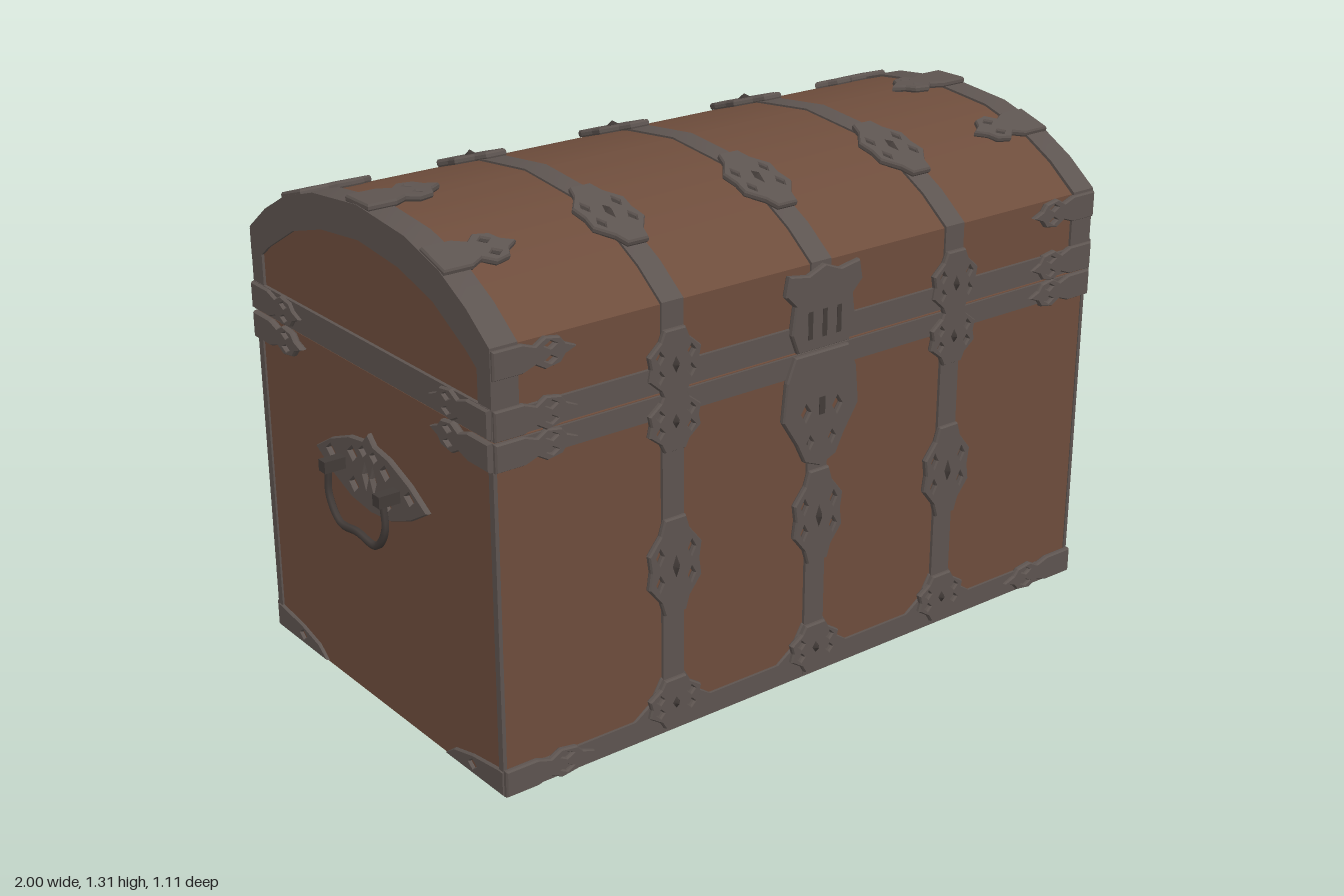
import * as THREE from 'three';
import { toCreasedNormals } from 'three/addons/utils/BufferGeometryUtils.js';

const wood = new THREE.MeshStandardMaterial({ color: 0x6e4d3c });
wood.name = 'wood';
const iron = new THREE.MeshStandardMaterial({ color: 0x5d5450 });
iron.name = 'iron';
const dark = new THREE.MeshStandardMaterial({ color: 0x423b38 });
dark.name = 'darkIron';

const W = 0.93, D = 0.525; // half width and half depth
const SEAM = 0.893, LID = 0.9;
const STRAPS = [-0.445, 0, 0.44];
const ARCH = [[0.525, 1.11], [0.44, 1.176], [0.34, 1.232], [0.2, 1.276], [0, 1.297]];

const mesh = (name, geo, mat, x = 0, y = 0, z = 0) => {
  const m = new THREE.Mesh(geo, mat);
  m.name = name;
  m.position.set(x, y, z);
  return m;
};
const box = (name, w, h, d, mat, x, y, z) => mesh(name, new THREE.BoxGeometry(w, h, d), mat, x, y, z);
const poly = (pts) => new THREE.Shape(pts.map(([x, y]) => new THREE.Vector2(x, y)));
const mirrorX = (half) => [...half, ...half.slice().reverse().filter((p) => p[0] !== 0).map(([x, y]) => [-x, y])];
const diamond = (x, y, w, h) => new THREE.Path([[x, y - h], [x + w, y], [x, y + h], [x - w, y]].map((p) => new THREE.Vector2(...p)));

// Ironwork plate in the XY plane, facing +z, with pierced diamonds
function plate(pts, holes = [], thick = 0.008) {
  const s = poly(pts);
  s.holes = holes.map((h) => diamond(...h));
  return new THREE.ExtrudeGeometry(s, {
    depth: thick, bevelEnabled: true, bevelThickness: 0.005, bevelSize: 0.003, bevelOffset: -0.003, bevelSegments: 1,
  });
}

// Slab with the lid's cross-section, grown by g and running from x0 to x1
function lidSlab(x0, x1, g, hole) {
  const half = [[D + g, LID], ...ARCH.map(([z, y]) => [z * (1 + g / D), y + g * 0.8])];
  const s = poly(mirrorX(half));
  if (hole) s.holes = [new THREE.Path(mirrorX(hole).map((p) => new THREE.Vector2(...p)))];
  const geo = new THREE.ExtrudeGeometry(s, { depth: x1 - x0, bevelEnabled: false });
  geo.rotateY(Math.PI / 2).translate(x0, 0, 0);
  return toCreasedNormals(geo, 0.4);
}

// Puts an object flat on the arch at depth z
function onArch(obj, x, z) {
  let i = ARCH.findIndex((p) => p[0] <= z);
  i = Math.max(1, i);
  const [z0, y0] = ARCH[i - 1], [z1, y1] = ARCH[i];
  const t = (z0 - z) / (z0 - z1);
  obj.position.set(x, y0 + (y1 - y0) * t + 0.004, z);
  obj.rotation.x = -Math.atan2(z0 - z1, y1 - y0);
  return obj;
}

// Pierced strap ornament with a raised centre stud
function medallion(w, h) {
  const g = new THREE.Group();
  g.name = 'medallion';
  const pts = mirrorX([[0, -h], [0.4 * w, -h], [0.55 * w, -0.7 * h], [w, -0.35 * h], [0.92 * w, 0], [w, 0.35 * h], [0.55 * w, 0.7 * h], [0.4 * w, h], [0, h]]);
  const holes = [];
  for (const sx of [-1, 1]) for (const sy of [-1, 1]) holes.push([sx * 0.6 * w, sy * 0.28 * h, 0.13 * w, 0.16 * h]);
  g.add(mesh('medallionPlate', plate(pts, holes), iron));
  const stud = mesh('medallionStud', new THREE.ConeGeometry(1, 0.014, 4).toNonIndexed().rotateX(Math.PI / 2), dark, 0, 0, 0.018);
  stud.scale.set(0.16 * w, 0.28 * h, 1);
  g.add(stud);
  return g;
}

// Leaf-tipped corner mount pointing along +x from its edge; dir -1 mirrors it
function leaf(len, h, dir) {
  const half = [[0, h], [0.35 * len, h], [0.5 * len, 0.65 * h], [0.62 * len, 1.1 * h], [0.8 * len, 0.9 * h], [0.86 * len, 0.4 * h], [len, 0]];
  const pts = [...half, ...half.slice(0, -1).reverse().map(([x, y]) => [x, -y])];
  const holes = [[0.68 * len, 0.5 * h, 0.07 * len, 0.24 * h], [0.68 * len, -0.5 * h, 0.07 * len, 0.24 * h]];
  const flip = ([x, y]) => [x * dir, y];
  return mesh('cornerLeaf', plate(pts.map(flip), holes.map(([x, y, a, b]) => [x * dir, y, a, b])), iron);
}

// Ironwork of the front or back, built facing +z
function longSide(isFront) {
  const g = new THREE.Group();
  g.name = isFront ? 'frontIronwork' : 'backIronwork';
  g.add(box('lidRim', 2 * W + 0.01, 0.062, 0.014, iron, 0, 0.932, D + 0.002));
  g.add(box('bodyRim', 2 * W + 0.01, 0.055, 0.012, iron, 0, 0.864, D + 0.001));
  g.add(box('bottomRim', 2 * W + 0.01, 0.058, 0.012, iron, 0, 0.039, D + 0.001));
  for (const x of STRAPS) {
    g.add(box('bodyStrap', 0.062, 0.87, 0.01, iron, x, 0.45, D + 0.003));
    // Curved flare where the strap meets the bottom rim
    g.add(mesh('strapFoot', plate(mirrorX([[0, 0.065], [0.12, 0.065], [0.07, 0.1], [0.035, 0.16], [0, 0.16]]), [], 0.002), iron, x, 0, D));
    const spots = [[0.455, 0.078, 0.125], [0.09, 0.078, 0.065]];
    if (!isFront || x !== 0) spots.push([0.965, 0.075, 0.085], [0.825, 0.075, 0.075]);
    for (const [y, w, h] of spots) {
      const m = medallion(w, h);
      m.position.set(x, y, D + 0.006);
      g.add(m);
    }
    g.add(onArch(medallion(0.074, 0.12), x, 0.29));
  }
  for (const s of [-1, 1]) {
    const edge = s * (W + 0.005);
    for (const [y, len, h] of [[0.935, 0.22, 0.036], [0.86, 0.22, 0.034], [0.045, 0.25, 0.034], [1.075, 0.22, 0.034]]) {
      const l = leaf(len, h, -s);
      l.position.set(edge, y, D + 0.004);
      g.add(l);
    }
    g.add(onArch(leaf(0.22, 0.05, -s), edge, 0.31));
    if (!isFront) g.add(box('cornerPost', 0.07, 0.87, 0.012, iron, s * (W - 0.03), 0.45, D + 0.001));
  }
  if (isFront) {
    // Lock plate on the body and hasp on the lid
    const lock = mirrorX([[0, 0.59], [0.05, 0.61], [0.075, 0.66], [0.12, 0.73], [0.11, 0.83], [0.085, 0.89], [0, 0.89]]);
    g.add(mesh('lockPlate', plate(lock, [[0.05, 0.74, 0.014, 0.022], [-0.05, 0.74, 0.014, 0.022], [0.035, 0.66, 0.01, 0.016], [-0.035, 0.66, 0.01, 0.016]]), iron, 0, 0, D + 0.007));
    g.add(box('keyhole', 0.018, 0.045, 0.008, dark, 0, 0.75, D + 0.018));
    const hasp = mirrorX([[0, 0.9], [0.08, 0.9], [0.1, 0.95], [0.09, 1.02], [0.12, 1.05], [0.11, 1.1], [0.05, 1.09], [0, 1.11]]);
    g.add(mesh('hasp', plate(hasp, [], 0.01), iron, 0, 0, D + 0.008));
    for (const x of [-0.045, 0, 0.045]) g.add(box('haspBar', 0.014, 0.07, 0.008, dark, x, 0.965, D + 0.02));
  }
  return g;
}

// Ironwork and handle of one end, built facing +z
function endSide(name) {
  const g = new THREE.Group();
  g.name = name;
  g.add(box('endLidRim', 2 * D + 0.01, 0.074, 0.012, iron, 0, 0.938, W + 0.003));
  for (const s of [-1, 1]) {
    g.add(box('cornerEdge', 0.018, 0.87, 0.01, iron, s * (D - 0.006), 0.45, W));
    for (const [y, len, h] of [[0.94, 0.24, 0.034], [0.862, 0.24, 0.034]]) {
      const l = leaf(len, h, -s);
      l.position.set(s * (D + 0.005), y, W + 0.005);
      g.add(l);
    }
    const foot = [[0, 0.01], [0.25, 0.01], [0.21, 0.04], [0.13, 0.06], [0.02, 0.075], [0, 0.075]];
    g.add(mesh('footCorner', plate(foot.map(([x, y]) => [s * (D + 0.005 - x), y]), [[s * 0.4, 0.035, 0.016, 0.012]], 0.003), iron, 0, 0, W));
  }
  // Pierced pointed backplate
  const back = mirrorX([[0, -0.09], [0.09, -0.08], [0.18, -0.045], [0.255, 0], [0.18, 0.045], [0.09, 0.08], [0.025, 0.09], [0, 0.115]]);
  const holes = [[0.018, 0, 0.013, 0.035], [-0.018, 0, 0.013, 0.035]];
  for (const s of [-1, 1]) holes.push([s * 0.075, 0.04, 0.02, 0.018], [s * 0.075, -0.04, 0.02, 0.018], [s * 0.18, 0.012, 0.02, 0.016], [s * 0.025, 0.062, 0.015, 0.012]);
  g.add(mesh('handlePlate', plate(back, holes), iron, 0, 0.625, W));
  // Drop handle on two studs
  const path = new THREE.CatmullRomCurve3([[-0.125, 0.625], [-0.13, 0.55], [-0.085, 0.493], [0, 0.497], [0.085, 0.493], [0.13, 0.55], [0.125, 0.625]].map(([x, y]) => new THREE.Vector3(x, y, 0.982)));
  g.add(mesh('handle', new THREE.TubeGeometry(path, 28, 0.01, 6), dark));
  for (const s of [-1, 1]) g.add(box('handleStud', 0.03, 0.03, 0.07, dark, s * 0.125, 0.628, 0.965));
  return g;
}

export function createModel() {
  const chest = new THREE.Group();
  chest.name = 'chest';
  chest.add(box('body', 2 * W, SEAM - 0.006, 2 * D, wood, 0, (SEAM + 0.006) / 2, 0));
  chest.add(mesh('lid', lidSlab(-W, W, 0), wood));
  for (const x of STRAPS) chest.add(mesh('lidStrap', lidSlab(x - 0.031, x + 0.031, 0.006), iron));

  // Arched bands around both ends of the lid
  const opening = [[0.48, 0.97], [0.48, 1.055], [0.44, 1.085], [0.31, 1.16], [0.17, 1.2], [0, 1.218]];
  for (const s of [-1, 1]) {
    const a = s * (W - 0.065), b = s * (W + 0.007);
    chest.add(mesh('lidEndBand', lidSlab(Math.min(a, b), Math.max(a, b), 0.007, opening), iron));
    const crest = leaf(0.22, 0.05, -s);
    crest.position.set(s * (W + 0.005), 1.301, 0);
    crest.rotation.x = -Math.PI / 2;
    chest.add(crest);
    // Rounded corner plates under the floor
    for (const t of [-1, 1]) {
      const floor = mesh('floorCorner', new THREE.CylinderGeometry(0.17, 0.17, 0.006, 8, 1, false, 0, Math.PI / 2), iron, s * W, 0.004, t * D);
      floor.rotation.y = s > 0 ? (t > 0 ? Math.PI : -Math.PI / 2) : (t > 0 ? Math.PI / 2 : 0);
      chest.add(floor);
    }
  }

  const back = longSide(false);
  back.rotation.y = Math.PI;
  const left = endSide('leftEndIronwork'), right = endSide('rightEndIronwork');
  left.rotation.y = Math.PI / 2;
  right.rotation.y = -Math.PI / 2;
  chest.add(longSide(true), back, left, right);
  return chest;
}
